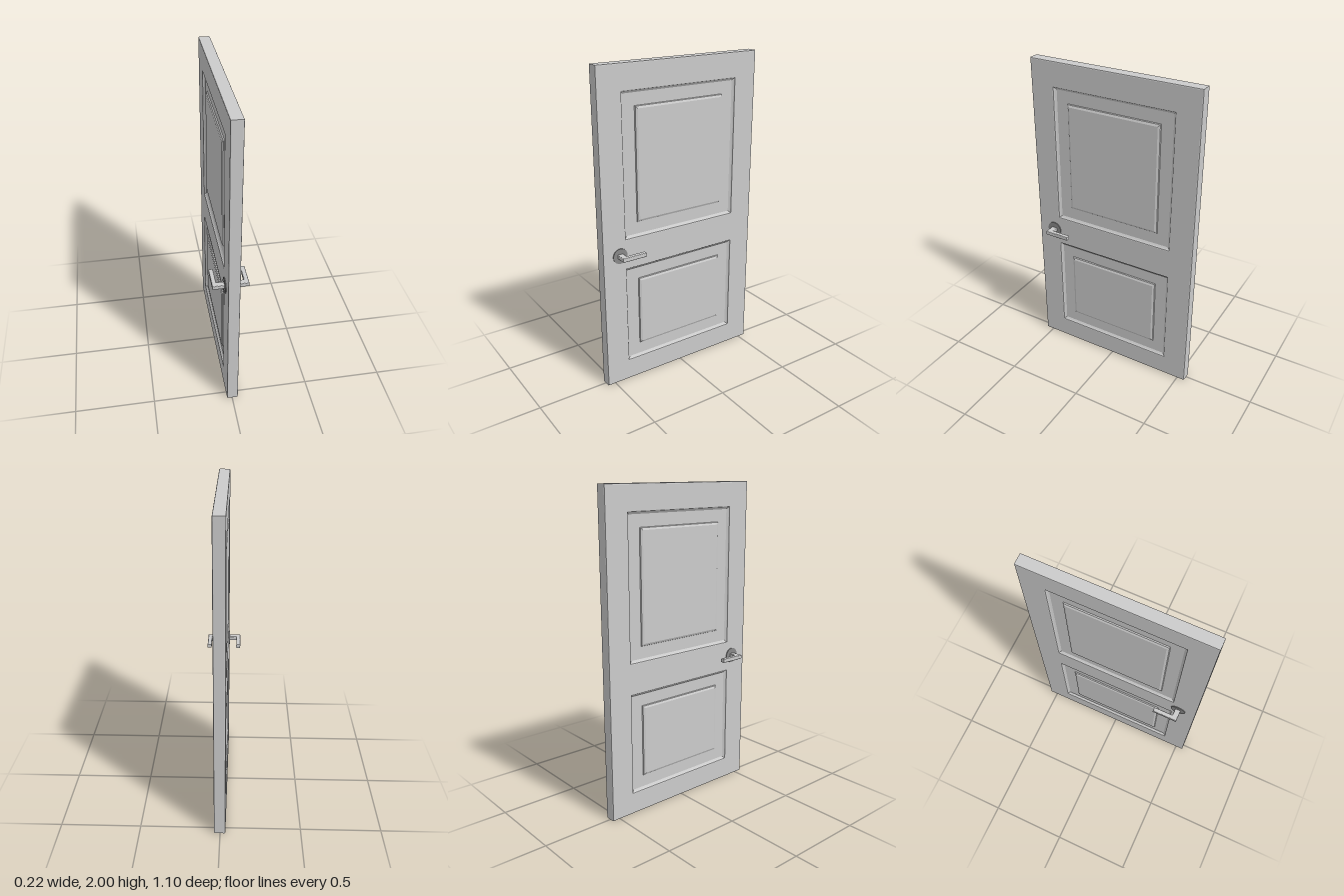
import * as THREE from 'three';
import { RoundedBoxGeometry } from 'three/addons/geometries/RoundedBoxGeometry.js';

const grey = new THREE.MeshStandardMaterial({ color: 0xcccccc });
const flat = new THREE.MeshStandardMaterial({ color: 0xcccccc, flatShading: true });
const dark = new THREE.MeshStandardMaterial({ color: 0x888888 });

const HALF_T = 0.0355;   // half thickness of the door
const OFFSET = 0.0025;   // door leaf sits slightly off the handle centre
const LIP = 0.006;       // softened edge of the frame
const HALF_W = 0.395;    // half width of both panel openings
const PANELS = [
  { name: 'upperPanel', bottom: 0.97, top: 1.844 },
  { name: 'lowerPanel', bottom: 0.138, top: 0.774 },
];

function add(parent, name, geometry, material) {
  const mesh = new THREE.Mesh(geometry, material);
  mesh.name = name;
  parent.add(mesh);
  return mesh;
}

function rect(path, x0, y0, x1, y1) {
  path.moveTo(x0, y0);
  path.lineTo(x1, y0);
  path.lineTo(x1, y1);
  path.lineTo(x0, y1);
  path.closePath();
  return path;
}

// Nested rectangles facing +x: each profile step is [inset, x]; the last is capped
function steppedPanel(halfW, halfH, profile) {
  const positions = [];
  const index = [];
  for (const [inset, x] of profile) {
    const w = halfW - inset, h = halfH - inset;
    positions.push(x, -h, w, x, -h, -w, x, h, -w, x, h, w);
  }
  for (let r = 0; r < profile.length - 1; r++) {
    for (let i = 0; i < 4; i++) {
      const a = r * 4 + i, b = r * 4 + (i + 1) % 4;
      index.push(a, b, b + 4, a, b + 4, a + 4);
    }
  }
  const c = (profile.length - 1) * 4;
  index.push(c, c + 1, c + 2, c, c + 2, c + 3);
  const indexed = new THREE.BufferGeometry();
  indexed.setAttribute('position', new THREE.Float32BufferAttribute(positions, 3));
  indexed.setIndex(index);
  const geometry = indexed.toNonIndexed();
  geometry.computeVertexNormals();
  return geometry;
}

function createLeaf() {
  const leaf = new THREE.Group();
  leaf.name = 'doorLeaf';
  leaf.position.x = OFFSET;

  // Frame with two openings
  const shape = rect(new THREE.Shape(), -0.55, 0, 0.55, 2);
  for (const p of PANELS) {
    shape.holes.push(rect(new THREE.Path(), -HALF_W, p.bottom, HALF_W, p.top));
  }
  const depth = 2 * (HALF_T - LIP);
  const frame = new THREE.ExtrudeGeometry(shape, {
    depth, bevelEnabled: true, bevelSize: LIP, bevelThickness: LIP,
    bevelOffset: -LIP, bevelSegments: 2,
  });
  frame.translate(0, 0, -depth / 2);
  frame.rotateY(Math.PI / 2);
  add(leaf, 'frame', frame, flat);

  // Moulding, sunken field and raised centre, on both faces
  const profile = [
    [0, HALF_T - LIP], [0.004, HALF_T - 0.010], [0.013, HALF_T - 0.016],
    [0.088, HALF_T - 0.016], [0.091, HALF_T - 0.009], [0.104, HALF_T - 0.003],
  ];
  for (const p of PANELS) {
    const geometry = steppedPanel(HALF_W, (p.top - p.bottom) / 2, profile);
    for (const turn of [0, Math.PI]) {
      const panel = add(leaf, p.name, geometry, flat);
      panel.position.y = (p.top + p.bottom) / 2;
      panel.rotation.y = turn;
    }
  }
  return leaf;
}

function createHandle(side) {
  const handle = new THREE.Group();
  handle.name = side > 0 ? 'leftHandle' : 'rightHandle';
  handle.position.set(0, 0.873, 0.437);
  if (side < 0) handle.rotation.z = Math.PI;

  // Round backplate lying on the door face
  const face = HALF_T + side * OFFSET;
  const rosette = new THREE.CylinderGeometry(0.048, 0.048, 0.01, 32);
  rosette.rotateZ(Math.PI / 2);
  add(handle, 'rosette', rosette, dark).position.x = face;

  // L-shaped lever: stem out of the door, grip along it
  const outline = new THREE.Shape();
  const points = [
    [0.02, -0.018], [0.083, -0.018], [0.083, -0.142],
    [0.11, -0.142], [0.11, 0.018], [0.02, 0.018],
  ];
  outline.setFromPoints(points.map(([x, z]) => new THREE.Vector2(x, -z)));
  const b = 0.004, h = 0.026;
  const lever = new THREE.ExtrudeGeometry(outline, {
    depth: h - 2 * b, bevelEnabled: true, bevelSize: b, bevelThickness: b,
    bevelOffset: -b, bevelSegments: 3,
  });
  lever.translate(0, 0, -h / 2 + b);
  lever.rotateX(-Math.PI / 2);
  add(handle, 'lever', lever, grey);
  return handle;
}

export function createModel() {
  const door = new THREE.Group();
  door.name = 'door';
  door.add(createLeaf(), createHandle(1), createHandle(-1));
  return door;
}
